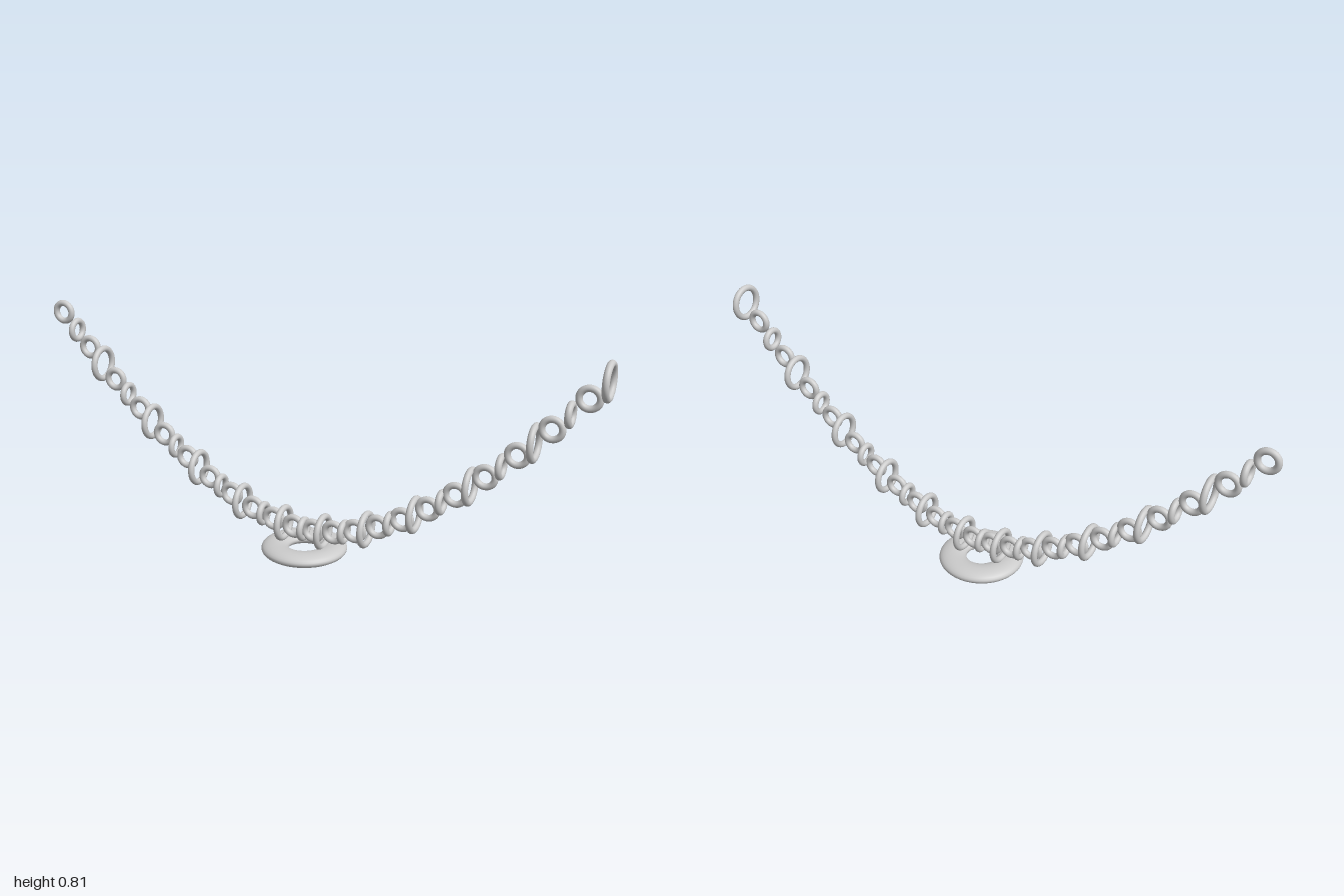
import * as THREE from 'three';

export function createModel() {
  const group = new THREE.Group();
  group.name = 'chainOnRing';
  const material = new THREE.MeshStandardMaterial({ color: 0xcccccc });

  // Two link sizes share the same wire thickness
  const smallLink = new THREE.TorusGeometry(0.032, 0.011, 16, 40);
  const bigLink = new THREE.TorusGeometry(0.053, 0.011, 16, 48);

  // Hanging chain: links alternate facing front and side, every fourth is big
  const chain = new THREE.Group();
  chain.name = 'chain';
  const count = 44;
  for (let i = 0; i < count; i++) {
    const s = (2 * i) / (count - 1) - 1;
    const big = i % 4 === 3;
    const link = new THREE.Mesh(big ? bigLink : smallLink, material);
    link.name = big ? 'bigLink' : 'smallLink';
    link.position.set(0.015 + 0.97 * s * (0.81 + 0.19 * Math.abs(s)), 0.09 + 0.657 * s * s, 0);
    if (i % 2 === 1) link.rotation.y = Math.PI / 2;
    chain.add(link);
  }
  group.add(chain);

  // Flattened ring lying on the ground under the lowest links
  const baseGeometry = new THREE.TorusGeometry(0.1, 0.0475, 24, 72);
  baseGeometry.rotateX(Math.PI / 2);
  baseGeometry.scale(1, 0.475, 1);
  const base = new THREE.Mesh(baseGeometry, material);
  base.name = 'baseRing';
  base.position.y = 0.0226;
  group.add(base);

  return group;
}
